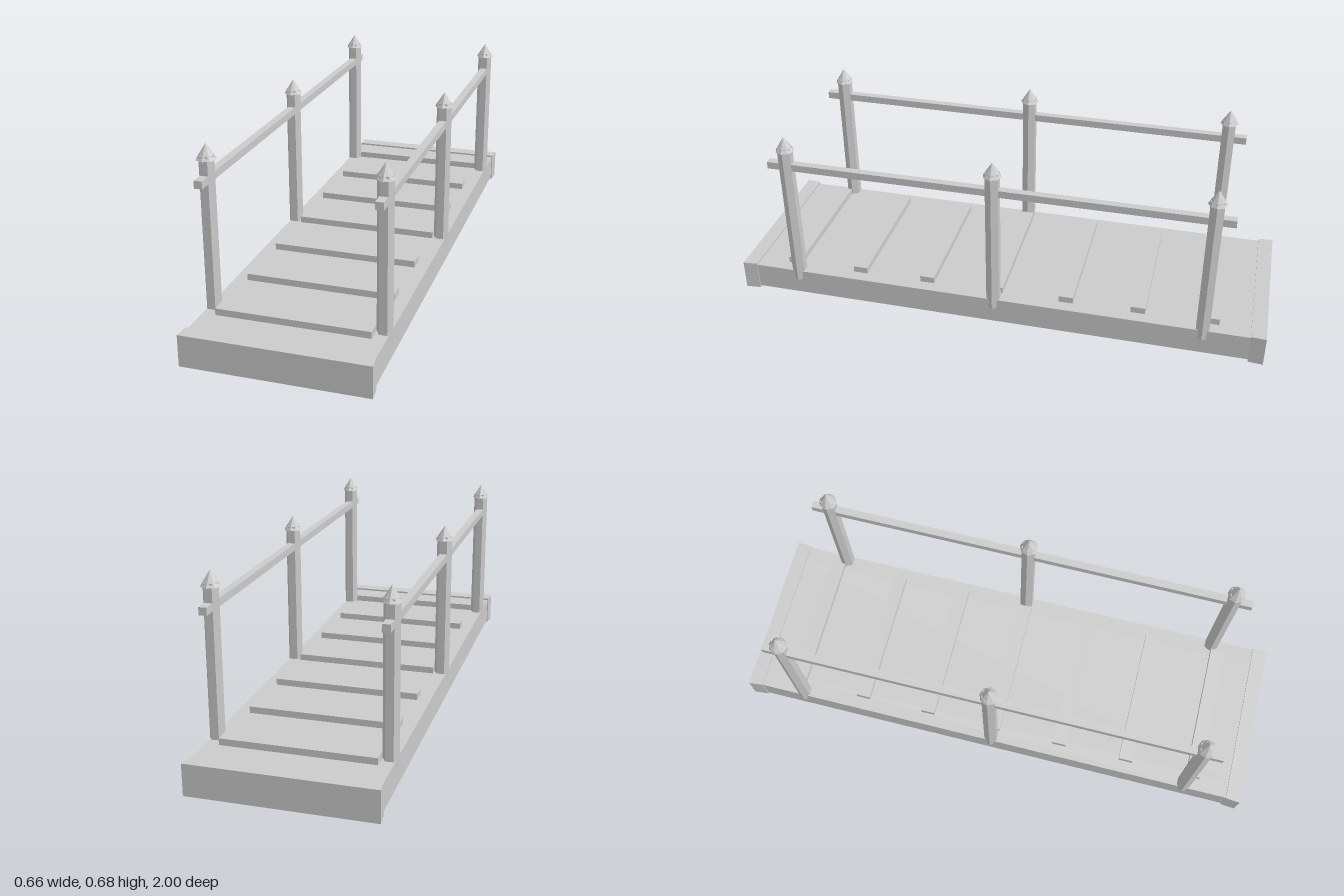
import * as THREE from 'three';

const mat = new THREE.MeshStandardMaterial({ color: 0xcccccc, flatShading: true });

export function createModel() {
  const model = new THREE.Group();
  model.name = 'footbridge';

  const add = (name, geometry, x, y, z) => {
    const mesh = new THREE.Mesh(geometry, mat);
    mesh.name = name;
    mesh.position.set(x, y, z);
    model.add(mesh);
    return mesh;
  };
  const box = (name, w, h, d, x, y, z) => add(name, new THREE.BoxGeometry(w, h, d), x, y, z);

  // Deck with a hollow underside
  box('deck', 0.5, 0.047, 1.89, 0, 0.0825, 0);
  for (const s of [-1, 1]) {
    box('sideBeam', 0.065, 0.098, 1.89, s * 0.2825, 0.057, 0);

    // End beam, slightly narrower where it meets the deck
    const end = new THREE.BoxGeometry(0.646, 0.113, 0.055);
    const p = end.attributes.position;
    for (let i = 0; i < p.count; i++) {
      if (p.getZ(i) * s < 0) p.setX(i, p.getX(i) * 0.985);
    }
    end.computeVertexNormals();
    add('endBeam', end, 0, 0.0565, s * 0.9725);
  }

  // Cross slats
  for (let i = -3; i <= 3; i++) box('slat', 0.536, 0.03, 0.054, 0, 0.115, i * 0.268);

  // Hexagonal posts with pointed caps, and the handrails
  const postGeo = new THREE.CylinderGeometry(0.028, 0.028, 0.573, 6);
  postGeo.rotateY(Math.PI / 2);
  const capGeo = new THREE.ConeGeometry(0.034, 0.054, 8);
  for (const s of [-1, 1]) {
    for (const z of [-0.775, 0, 0.775]) {
      add('post', postGeo, s * 0.296, 0.3565, z);
      add('postCap', capGeo, s * 0.296, 0.656, z);
    }
    box('handrail', 0.028, 0.027, 1.69, s * 0.296, 0.5655, 0);
  }
  return model;
}
